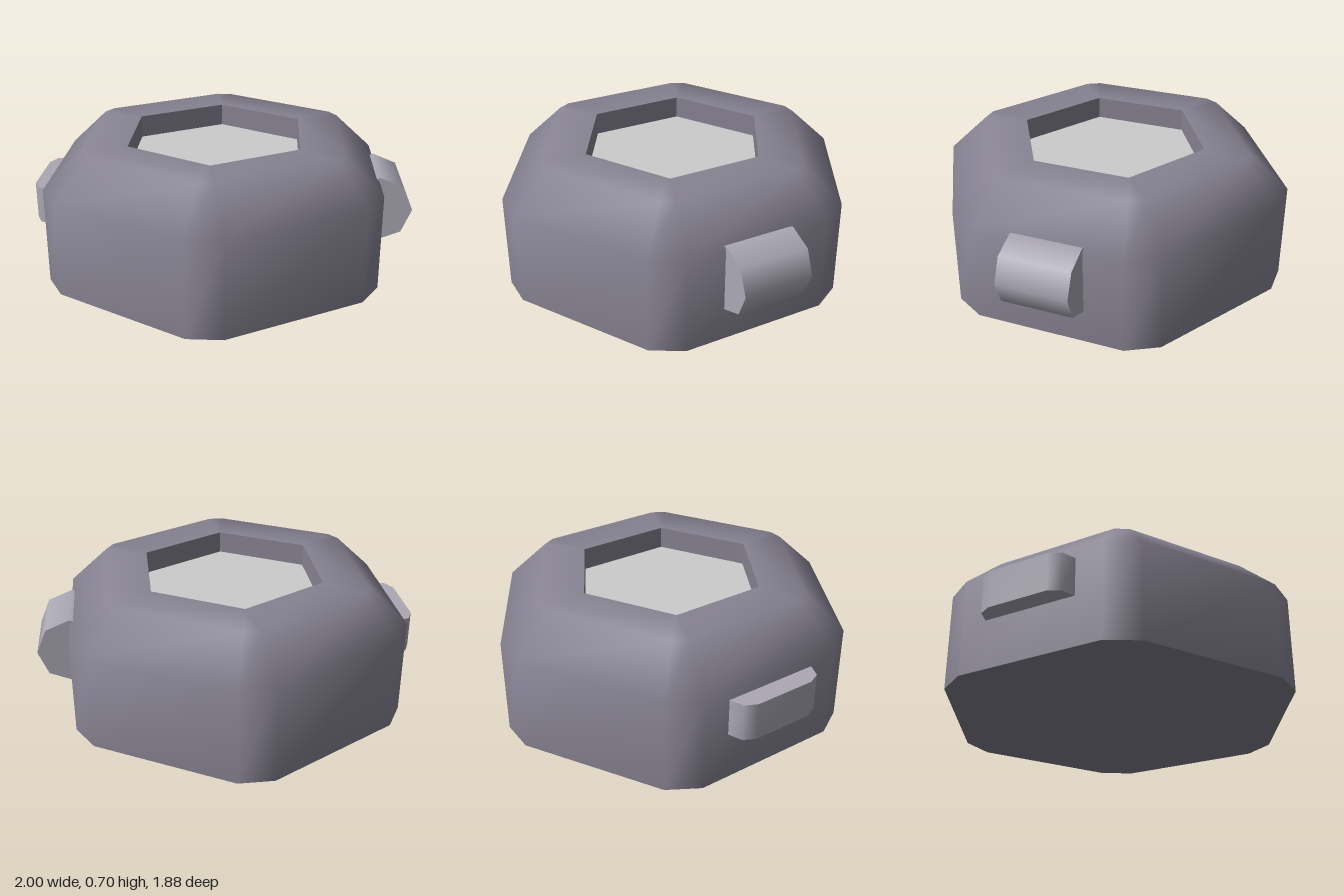
import * as THREE from 'three';

const mat = (name, color, extra = {}) => Object.assign(new THREE.MeshStandardMaterial({ color, ...extra }), { name });

// Skin through a chain of closed rings (counter-clockwise seen from above), smooth normals
function skin(rings) {
  const n = rings[0].length, index = [];
  for (let r = 0; r < rings.length - 1; r++) {
    for (let i = 0; i < n; i++) {
      const a = r * n + i, b = r * n + (i + 1) % n;
      index.push(a, b, b + n, a, b + n, a + n);
    }
  }
  const g = new THREE.BufferGeometry();
  g.setAttribute('position', new THREE.Float32BufferAttribute(rings.flat(2), 3));
  g.setIndex(index);
  g.computeVertexNormals();
  return g;
}

// Hexagon of the given apothem with corners cut off at distance cut; two points per corner
function hexRing(apothem, cut, y) {
  const w = (apothem * 2 / Math.sqrt(3) - cut) * Math.sqrt(3), ring = [];
  for (let k = 0; k < 6; k++) {
    const t = Math.PI / 6 + k * Math.PI / 3, c = Math.cos(t), s = Math.sin(t);
    for (const e of [-w, w]) ring.push([c * cut - s * e, y, -(s * cut + c * e)]);
  }
  return ring;
}
const centre = (ring, x = 0, z = 0) => ring.map(p => [x, p[1], z]);

export function createModel() {
  const model = new THREE.Group();
  const shell = mat('purple grey shell', 0x878392);
  const light = mat('light purple grey', 0xaba8b5);
  const plate = mat('light grey plate', 0xcccccc);
  const add = (parent, name, geometry, material) => {
    const m = new THREE.Mesh(geometry, material);
    m.name = name;
    parent.add(m);
    return m;
  };

  // Housing with bevelled top edge and hexagonal recess
  const housing = new THREE.Group();
  housing.name = 'housing';
  housing.position.x = -0.04;
  model.add(housing);
  const R = 0.44 * 2 / Math.sqrt(3);
  const base = hexRing(0.86, 0.94, 0);
  const rim = hexRing(0.44, R, 0.705), floor = hexRing(0.44, R, 0.585);
  add(housing, 'outerShell', skin([base, hexRing(0.86, 0.94, 0.51), hexRing(0.66, 0.74, 0.705), rim]), shell);
  add(housing, 'underside', skin([centre(base), base]), shell);
  const six = ring => ring.filter((p, i) => i % 2 === 0);
  const wall = skin([six(rim), six(floor)]).toNonIndexed();
  wall.computeVertexNormals();
  add(housing, 'recessWall', wall, shell);
  add(housing, 'recessFloor', skin([six(floor), centre(six(floor))]), plate);

  // Eight-sided roller half sunk into the left side
  const roller = add(model, 'sideRoller', new THREE.CylinderGeometry(0.178, 0.178, 0.37, 8), light);
  roller.rotation.x = Math.PI / 2;
  roller.position.set(0.822, 0.355, 0);

  // Flat tab with rounded ends on the right side
  const outline = [[-0.8, -0.25], [-0.9, -0.25], [-0.97, -0.223], [-1, -0.16]];
  const tab = [...outline, ...outline.map(([x, z]) => [x, -z]).reverse()];
  const [low, high] = [0.258, 0.455].map(y => tab.map(([x, z]) => [x, y, z]));
  const tabGroup = new THREE.Group();
  tabGroup.name = 'sideTab';
  model.add(tabGroup);
  add(tabGroup, 'tabEdge', skin([low, high]), light);
  add(tabGroup, 'tabTop', skin([high, centre(high, -0.9)]), light);
  add(tabGroup, 'tabBottom', skin([centre(low, -0.9), low]), light);

  return model;
}
